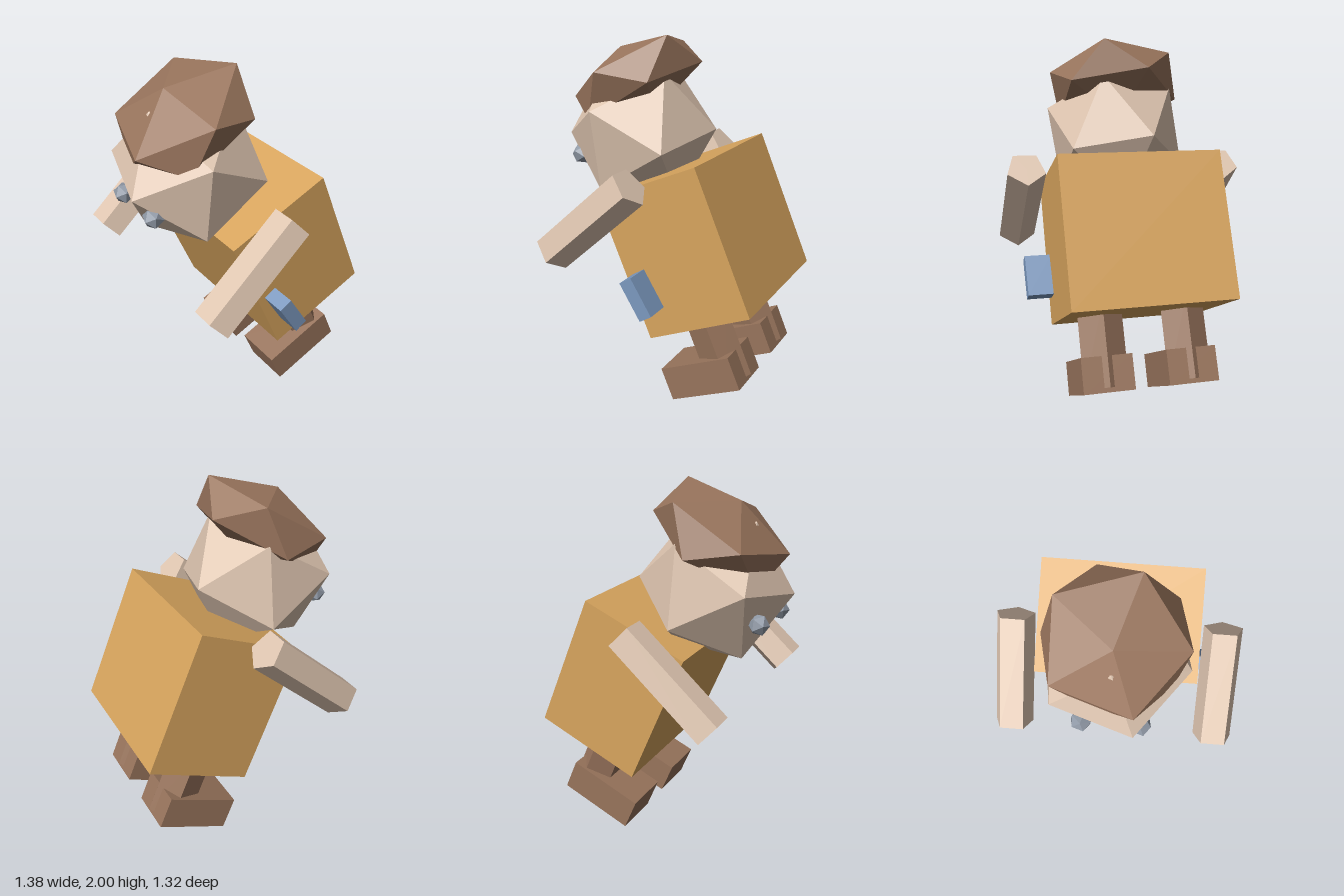
import * as THREE from 'three';

const mat = (name, color) => {
  const m = new THREE.MeshStandardMaterial({ color });
  m.name = name;
  return m;
};

export function createModel() {
  const tan = mat('tan', 0xd8a55e);
  const skin = mat('skin', 0xdec5b0);
  const brown = mat('brown', 0x98745c);
  const blue = mat('blue', 0x7c99bf);
  const grey = mat('grey', 0x9099a6);

  const model = new THREE.Group();
  model.name = 'character';

  // Whole figure leans forward and turns slightly
  const figure = new THREE.Group();
  figure.name = 'figure';
  figure.position.set(0.025, 0.9, -0.185);
  figure.rotation.set(0.4, -0.065, 0, 'YXZ');
  model.add(figure);

  const add = (name, geometry, material, x, y, z, tilt = 0) => {
    const mesh = new THREE.Mesh(geometry, material);
    mesh.name = name;
    mesh.position.set(x, y, z);
    mesh.rotation.x = tilt;
    figure.add(mesh);
    return mesh;
  };

  // Faceted ball standing on one of its corners
  const ball = (r, squash = 1) =>
    new THREE.IcosahedronGeometry(r, 0).rotateZ(-0.5536).scale(1, squash, 1);

  // Five-sided limb with a ridge along its back and flat faces
  const limb = (r, length) => {
    const g = new THREE.CylinderGeometry(r, r, length, 5, 1, false, Math.PI).toNonIndexed();
    g.computeVertexNormals();
    return g;
  };

  add('body', new THREE.BoxGeometry(0.9, 0.82, 0.63), tan, 0, 0, 0);

  // Head and cap share the same nod
  add('head', ball(0.43), skin, 0, 0.67, 0.18, 0.15);
  const capGeometry = ball(0.415, 0.5);
  capGeometry.computeVertexNormals();
  add('cap', capGeometry, brown, 0, 0.95, 0.09, 0.15);

  // Paired parts
  for (const [side, s] of [['left', 1], ['right', -1]]) {
    add(side + 'Eye', ball(0.06), grey, s * 0.155, 0.667, 0.523, 0.15);
    add(side + 'Arm', limb(0.112, 0.66), skin, s * 0.57, 0.324, 0.317, -1.25);
    add(side + 'Leg', limb(0.13, 0.44), brown, s * 0.235, -0.57, 0.05);
    add(side + 'Foot', new THREE.BoxGeometry(0.28, 0.19, 0.44), brown, s * 0.235, -0.72, 0.16);
  }

  // Small pouch on the left hip
  add('pouch', new THREE.BoxGeometry(0.15, 0.23, 0.08), blue, 0.515, -0.145, 0.215, 0.15);

  return model;
}
